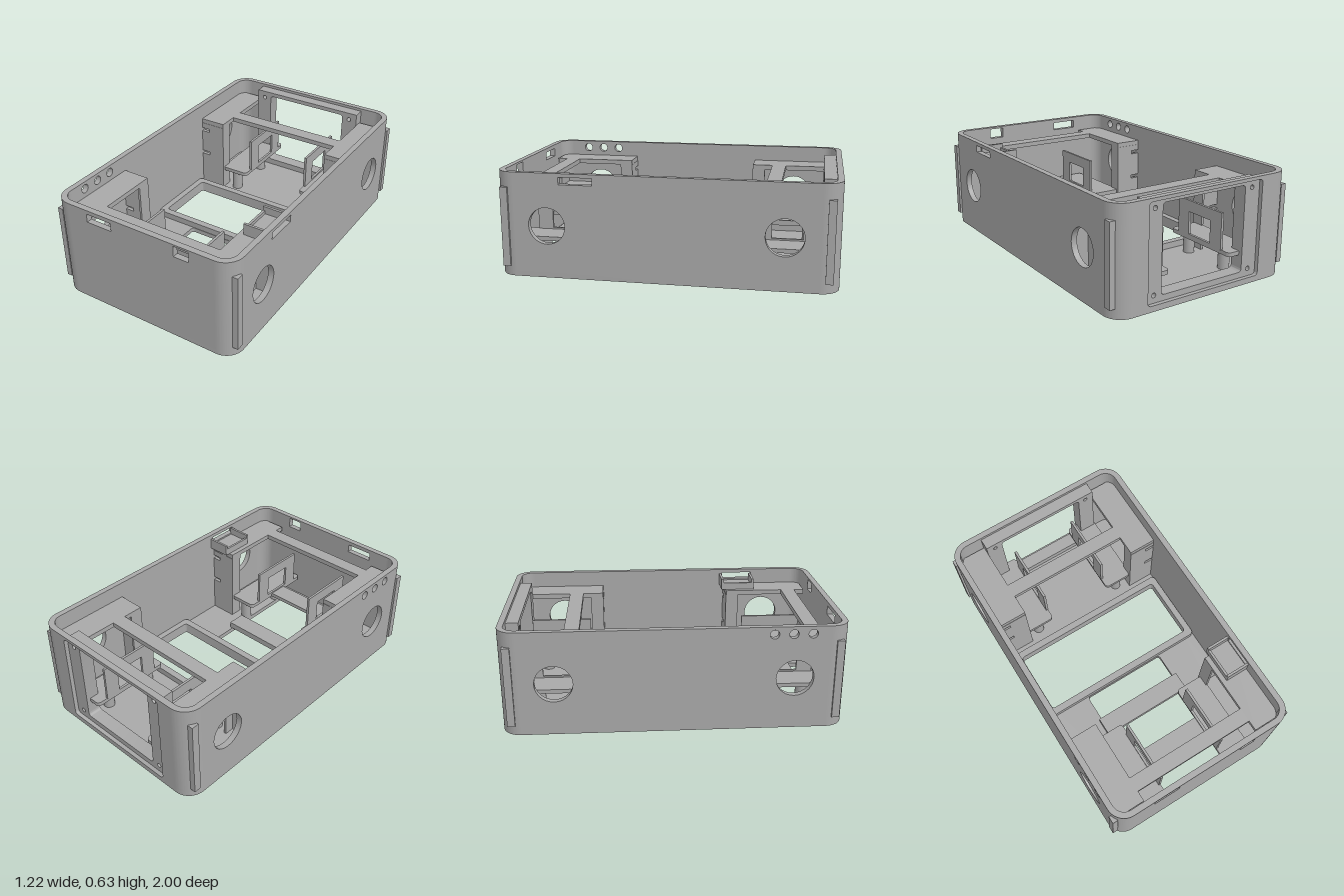
import * as THREE from 'three';
import { toCreasedNormals } from 'three/addons/utils/BufferGeometryUtils.js';

const W = 0.6, L = 1, H = 0.63, T = 0.036, R = 0.11, FLOOR = 0.03;

// Rounded rectangle between two corners, as a Shape or a hole Path
function rect(x0, y0, x1, y1, r = 0, C = THREE.Path) {
  const p = new C();
  if (!r) {
    p.moveTo(x0, y0).lineTo(x1, y0).lineTo(x1, y1).lineTo(x0, y1).closePath();
    return p;
  }
  p.moveTo(x0 + r, y0).lineTo(x1 - r, y0);
  p.absarc(x1 - r, y0 + r, r, -Math.PI / 2, 0);
  p.absarc(x1 - r, y1 - r, r, 0, Math.PI / 2);
  p.absarc(x0 + r, y1 - r, r, Math.PI / 2, Math.PI);
  p.absarc(x0 + r, y0 + r, r, Math.PI, Math.PI * 1.5);
  return p;
}
const circle = (x, y, r) => new THREE.Path().absarc(x, y, r, 0, Math.PI * 2);

function slab(shape, holes, depth) {
  shape.holes.push(...holes);
  const g = new THREE.ExtrudeGeometry(shape, { depth, bevelEnabled: false, curveSegments: 14 });
  return toCreasedNormals(g, 0.5);
}

export function createModel() {
  const group = new THREE.Group();
  const grey = new THREE.MeshStandardMaterial({ color: 0xa8a8a8 });
  grey.name = 'plain grey';

  function add(name, geometry) {
    const m = new THREE.Mesh(geometry, grey);
    m.name = name;
    group.add(m);
    return m;
  }
  function box(name, x0, x1, y0, y1, z0, z1) {
    const g = new THREE.BoxGeometry(Math.abs(x1 - x0), y1 - y0, Math.abs(z1 - z0));
    g.translate((x0 + x1) / 2, (y0 + y1) / 2, (z0 + z1) / 2);
    return add(name, g);
  }
  // Plate in the xy plane, starting at z
  const plateXY = (name, shape, holes, z, d) => add(name, slab(shape, holes, d).translate(0, 0, z));
  // Plate whose drawing axes are (z, y), starting at x
  const plateZY = (name, shape, holes, x, d) =>
    add(name, slab(shape, holes, d).rotateY(-Math.PI / 2).translate(x + d, 0, 0));
  // Plate whose drawing axes are (x, z), starting at y
  const plateXZ = (name, shape, holes, y, d) =>
    add(name, slab(shape, holes, d).rotateX(Math.PI / 2).translate(0, y + d, 0));
  const S = THREE.Shape;

  // Floor with the wide window and the front opening
  const screws = [];
  for (const s of [-1, 1]) {
    for (const z of [-0.78, -0.48]) screws.push(circle(s * 0.31, z, 0.011));
    screws.push(circle(s * 0.39, 0.77, 0.011));
  }
  plateXZ('floor', rect(-W, -L, W, L, R, S), [
    rect(-0.52, -0.335, 0.52, 0.078, 0.02),
    rect(-0.28, 0.125, 0.28, 0.93, 0.02), ...screws], 0, FLOOR);
  plateXZ('windowRim', rect(-0.56, -0.378, 0.56, 0.122, 0.025, S),
    [rect(-0.52, -0.335, 0.52, 0.078, 0.02)], FLOOR, 0.04);

  // Side walls with round ports; one has a switch slot, the other three small holes
  const ports = () => [-0.69, 0.69].map(z => circle(z, 0.315, 0.11));
  const side = () => rect(R - L, FLOOR, L - R, H, 0, S);
  plateZY('leftWall', side(), [...ports(), rect(0.41, 0.565, 0.61, 0.608)], W - T, T);
  plateZY('rightWall', side(),
    [...ports(), ...[0.56, 0.67, 0.78].map(z => circle(z, 0.585, 0.027))], -W, T);

  // Front wall with two slots, back wall with a large opening
  const end = () => rect(R - W, FLOOR, W - R, H, 0, S);
  plateXY('frontWall', end(),
    [rect(-0.355, 0.553, -0.185, 0.605), rect(0.235, 0.552, 0.332, 0.618)], L - T, T);
  plateXY('backWall', end(), [rect(-0.39, 0.035, 0.39, 0.61, 0.02)], -L, T);

  // Rounded wall corners
  for (let i = 0; i < 4; i++) {
    const sx = i % 2 ? 1 : -1, sz = i < 2 ? 1 : -1;
    const a = Math.atan2(sz, sx) - Math.PI / 4;
    const arc = new S();
    arc.absarc(0, 0, R, a, a + Math.PI / 2, false);
    arc.absarc(0, 0, R - T, a + Math.PI / 2, a, true);
    arc.closePath();
    plateXZ('wallCorner', arc, [], FLOOR, H - FLOOR).position.set(sx * (W - R), 0, sz * (L - R));
  }

  // Recessed frame behind the back opening, with screw holes in its corners
  const frameHoles = [rect(-0.285, 0.07, 0.285, 0.585, 0.02)];
  for (const x of [-0.335, 0.335]) for (const y of [0.08, 0.565]) frameHoles.push(circle(x, y, 0.014));
  plateXY('backFrame', rect(-0.39, 0.03, 0.39, 0.612, 0, S), frameHoles, -0.975, 0.085);

  for (const sx of [-1, 1]) {
    for (const sz of [-1, 1]) {
      // Slim vertical strip near each corner
      box('sideStrip', sx * 0.575, sx * 0.609, 0.06, 0.54, sz * 0.92, sz * 0.965);

      // Corner bay: top plate, slotted inner wall and a short return
      box('bayTop', sx * 0.39, sx * 0.575, 0.5, 0.53, sz * 0.42, sz * 0.95);
      const x0 = Math.min(sx * 0.39, sx * 0.575), x1 = Math.max(sx * 0.39, sx * 0.575);
      const slots = [0.27, 0.45].map(y => rect(sx * 0.535 - 0.03, y - 0.012, sx * 0.535 + 0.03, y + 0.012));
      plateXY('bayWall', rect(x0, FLOOR, x1, 0.5, 0, S), slots, sz * 0.43 - 0.012, 0.024);
      box('bayReturn', sx * 0.39, sx * 0.405, FLOOR, 0.5, sz * 0.44, sz * 0.5);

      // Low shelf with an upright window frame on its inner edge
      const px = Math.min(sx * 0.21, sx * 0.4), pz = Math.min(sz * 0.43, sz * 0.95);
      plateXZ('shelf', rect(px, pz, px + 0.19, pz + 0.52, 0.025, S), [], 0.165, 0.025);
      const z0 = Math.min(sz * 0.5, sz * 0.88), w0 = Math.min(sz * 0.595, sz * 0.785);
      plateZY('uprightFrame', rect(z0, 0.185, z0 + 0.38, 0.41, 0, S),
        [rect(w0, 0.2, w0 + 0.19, 0.34)], sx * 0.215 - 0.008, 0.016);

      // Posts under the shelf
      for (const z of [0.48, 0.8]) {
        const g = new THREE.CylinderGeometry(0.035, 0.035, 0.14, 20);
        add('shelfPost', g.translate(sx * 0.31, 0.1, sz * z));
      }
    }
  }

  // Rails joining the bays
  box('frontRail', -0.4, 0.4, 0.5, 0.53, 0.795, 0.885);
  box('backRail', -0.4, 0.4, 0.5, 0.53, -0.64, -0.55);

  // Low crossbars over the front opening
  box('shelfBar', -0.22, 0.22, 0.165, 0.19, 0.64, 0.765);
  box('openingBar', -0.3, 0.3, FLOOR, 0.07, 0.3, 0.42);

  // Switch tray beside the slot
  box('trayBase', 0.42, 0.57, 0.53, 0.555, 0.39, 0.61);
  box('trayEnd', 0.42, 0.57, 0.555, 0.6, 0.39, 0.405);
  box('trayEnd', 0.42, 0.57, 0.555, 0.6, 0.595, 0.61);
  box('trayLip', 0.42, 0.435, 0.555, 0.575, 0.405, 0.595);

  return group;
}
